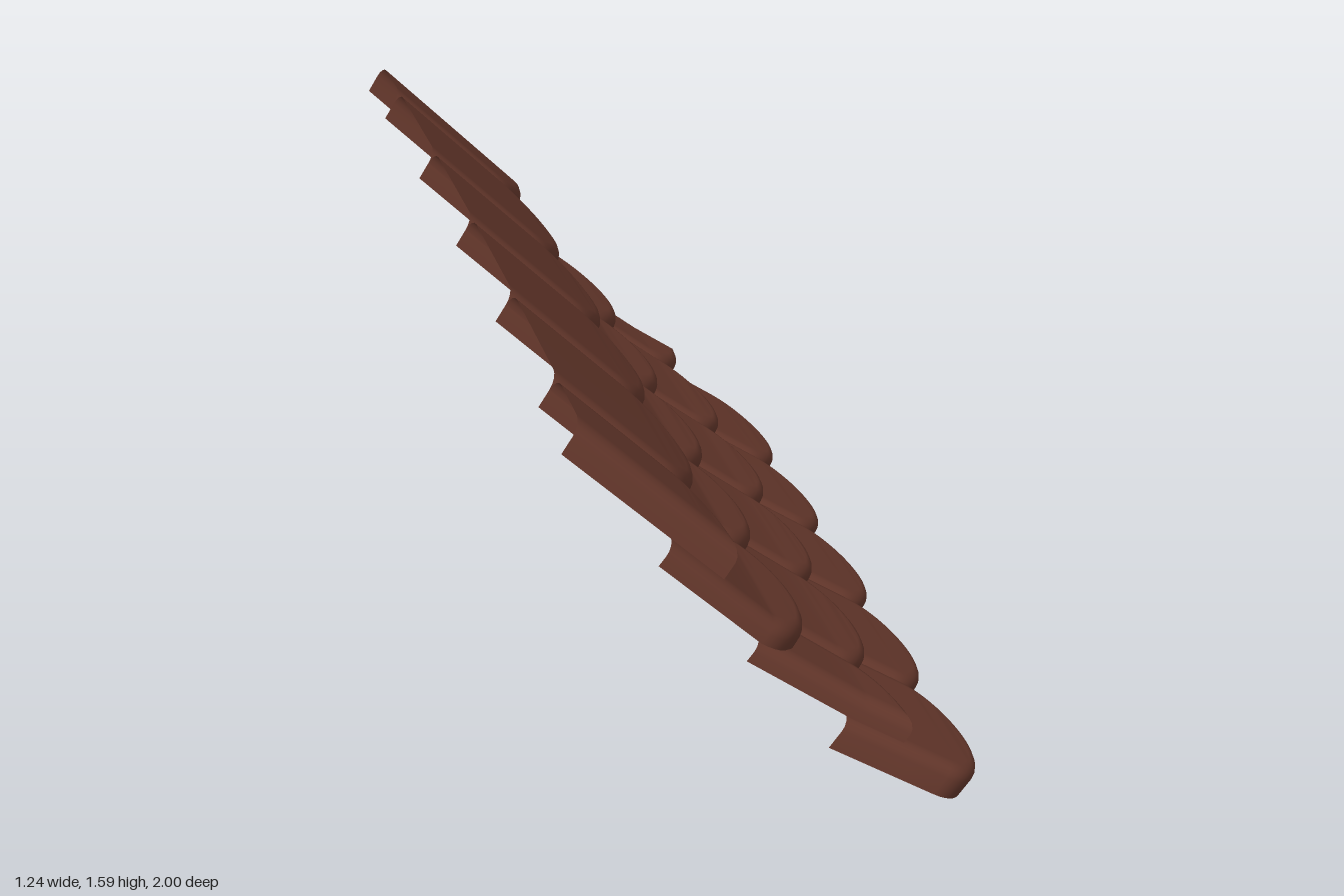
import * as THREE from 'three';
import { toCreasedNormals } from 'three/addons/utils/BufferGeometryUtils.js';

const RADIUS = 0.2;  // half the tile width, and the round end
const BODY = 0.42;   // straight part of a tile, before the round end
const STRAIGHT = 3, ARC = 12, BEVEL = 0.036, BEVEL_STEPS = 4;
const CROWN = 0.013; // rows bulge slightly towards the middle

// Each row: upper back corner of the underside, slopes of body and round end in degrees,
// thickness, and how far the tile leans uphill with its height
const ROWS = [
  { name: 'bottomRow', from: [0.085, 0.394], slope: 39.7, tipSlope: 39.7, thick: 0.097, lean: -0.06, staggered: false },
  { name: 'lowerRow', from: [-0.155, 0.76], slope: 43, tipSlope: 39.7, thick: 0.068, lean: -0.1, staggered: true },
  { name: 'upperRow', from: [-0.39, 1.125], slope: 49.2, tipSlope: 41, thick: 0.067, lean: -0.2, staggered: false },
  { name: 'topRow', from: [-0.625, 1.51], slope: 49.2, tipSlope: 49.2, thick: 0.086, lean: -0.28, staggered: true },
];

const downhill = (degrees) => {
  const a = THREE.MathUtils.degToRad(degrees);
  return [Math.cos(a), -Math.sin(a)];
};

// Round-ended hollow tile, open below and at the back.
// half is 0 for a whole tile, +1 / -1 for the half on that side of its centre
function tileGeometry(row, centerZ, half) {
  const body = downhill(row.slope), tip = downhill(row.tipSlope);
  const bend = downhill((row.slope + row.tipSlope) / 2);

  // local (along, height, across) to model space
  const place = (along, height, across) => {
    const z = centerZ + across, h = height + CROWN * (1 - z * z);
    const onBody = Math.min(along, BODY), onTip = along - onBody;
    const d = along === BODY ? bend : along < BODY ? body : tip;
    const shift = row.lean * height;
    return [
      row.from[0] + body[0] * onBody + tip[0] * onTip + d[0] * shift - d[1] * h,
      row.from[1] + body[1] * onBody + tip[1] * onTip + d[1] * shift + d[0] * h,
      z,
    ];
  };

  // outline at one height, as pairs of edge points from back to tip
  const outline = (inset, height) => {
    const r = RADIUS - inset;
    const end = half ? Math.acos(inset / r) : Math.PI / 2;
    const pairs = [];
    const add = (along, w) => {
      const lo = half > 0 ? inset : -w, hi = half < 0 ? -inset : w;
      pairs.push([place(along, height, lo), place(along, height, hi)]);
    };
    for (let i = 0; i < STRAIGHT; i++) add(BODY * i / STRAIGHT, r);
    for (let i = 0; i <= ARC; i++) {
      const a = end * i / ARC;
      add(BODY + r * Math.sin(a), r * Math.cos(a));
    }
    return pairs;
  };

  // upright walls, a quarter-round top edge, then a narrow flat rim
  const loops = [outline(0, 0)];
  for (let i = 0; i <= BEVEL_STEPS; i++) {
    const a = Math.PI / 2 * i / BEVEL_STEPS;
    loops.push(outline(BEVEL * (1 - Math.cos(a)), row.thick - BEVEL + BEVEL * Math.sin(a)));
  }
  loops.push(outline(BEVEL + 0.006, row.thick));

  const pos = [];
  const quad = (p, q, r, t) => pos.push(...p, ...q, ...r, ...p, ...r, ...t);
  const top = loops[loops.length - 1];
  for (let i = 0; i < STRAIGHT + ARC; i++) {
    quad(top[i][0], top[i][1], top[i + 1][1], top[i + 1][0]);
    for (let k = 0; k < loops.length - 1; k++) {
      const a = loops[k], b = loops[k + 1];
      quad(a[i][1], a[i + 1][1], b[i + 1][1], b[i][1]);
      quad(a[i][0], b[i][0], b[i + 1][0], a[i + 1][0]);
    }
  }
  const geometry = new THREE.BufferGeometry();
  geometry.setAttribute('position', new THREE.Float32BufferAttribute(pos, 3));
  return toCreasedNormals(geometry, 0.6);
}

export function createModel() {
  const clay = new THREE.MeshStandardMaterial({ color: 0x784335, side: THREE.DoubleSide });
  clay.name = 'clay brown';
  const model = new THREE.Group();
  model.name = 'roofTiles';

  for (const row of ROWS) {
    const group = new THREE.Group();
    group.name = row.name;
    const addTile = (z, half) => {
      const tile = new THREE.Mesh(tileGeometry(row, z, half), clay);
      tile.name = half ? 'halfTile' : 'tile';
      group.add(tile);
    };
    if (row.staggered) {
      // whole tiles between, half tiles closing both ends
      for (let i = 0; i < 4; i++) addTile(-0.6 + 0.4 * i, 0);
      addTile(-1, 1);
      addTile(1, -1);
    } else {
      for (let i = 0; i < 5; i++) addTile(-0.8 + 0.4 * i, 0);
    }
    model.add(group);
  }
  return model;
}
